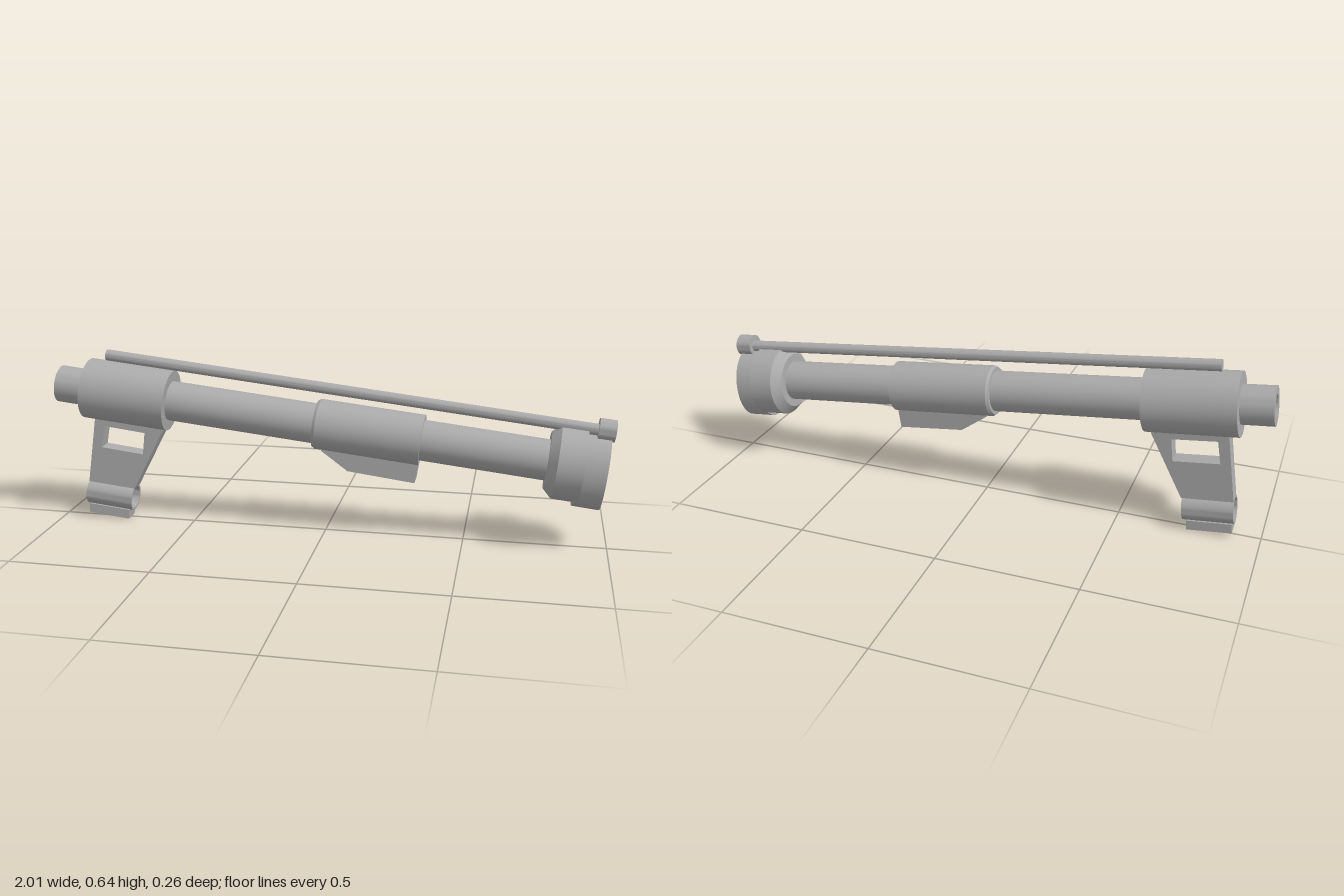
import * as THREE from 'three';
import { toCreasedNormals } from 'three/addons/utils/BufferGeometryUtils.js';

const TILT = -THREE.MathUtils.degToRad(6.2);

export function createModel() {
  const grey = new THREE.MeshStandardMaterial({ color: 0xaaaaaa });
  grey.name = 'grey metal';
  const model = new THREE.Group();

  // Everything round lies along the tilted barrel axis, measured from its rear end
  const axis = new THREE.Group();
  axis.name = 'tiltedBarrelAssembly';
  axis.position.set(-0.995, 0.505, 0);
  axis.rotation.z = TILT;
  model.add(axis);

  function add(parent, name, geometry) {
    const mesh = new THREE.Mesh(geometry, grey);
    mesh.name = name;
    parent.add(mesh);
    return mesh;
  }

  // Turned part: profile of [radius, distance along the axis]
  function turned(name, profile, sides = 40) {
    const points = profile.map(([r, s]) => new THREE.Vector2(r, s));
    const geometry = new THREE.LatheGeometry(points, sides).rotateZ(-Math.PI / 2);
    return add(axis, name, toCreasedNormals(geometry, 0.5));
  }

  const rod = (name, r, from, to, sides) =>
    turned(name, [[0, from], [r, from], [r, to], [0, to]], sides);

  // Flat part: side outline extruded across z
  function plate(name, outline, width, hole) {
    const toPoints = (list) => list.map(([x, y]) => new THREE.Vector2(x, y));
    const shape = new THREE.Shape(toPoints(outline));
    if (hole) shape.holes.push(new THREE.Path(toPoints(hole)));
    const geometry = new THREE.ExtrudeGeometry(shape, { depth: width, bevelEnabled: false });
    return add(model, name, geometry.translate(0, 0, -width / 2));
  }

  // Main tube with an open bore at the rear
  turned('rearStub', [[0, 0.09], [0.04, 0.09], [0.04, 0], [0.067, 0], [0.067, 0.12]]);
  rod('barrel', 0.072, 0.4, 1.82);
  rod('rearSleeve', 0.11, 0.11, 0.425);
  turned('middleSleeve', [[0, 0.965], [0.084, 0.965], [0.09, 0.975], [0.09, 1.348], [0, 1.348]]);

  // Flared collar and the oval cup at the front end
  turned('frontCollar', [[0, 1.785], [0.1, 1.785], [0.13, 1.815], [0.13, 1.905], [0, 1.905]]);
  const cup = turned('frontCup', [[0, 1.89], [1, 1.89], [1, 1.984], [0.97, 1.984], [0.97, 1.92], [0, 1.92]]);
  cup.scale.set(1, 0.131, 0.1);
  cup.position.y = -0.016;

  // Thin rod above the barrel with its end knob
  rod('topRod', 0.02, 0.172, 1.95, 20).position.y = 0.134;
  rod('rodKnob', 0.038, 1.935, 1.993, 28).position.y = 0.137;

  // Wedge below the middle sleeve
  plate('underWedge', [[-0.01, 0.36], [-0.01, 0.31], [0.085, 0.24], [0.325, 0.21], [0.335, 0.275], [0.335, 0.33]], 0.07);

  // Tapered bracket with a window
  plate('bracket',
    [[-0.852, 0.43], [-0.897, 0.14], [-0.72, 0.121], [-0.6, 0.35], [-0.6, 0.4]], 0.06,
    [[-0.825, 0.358], [-0.67, 0.339], [-0.68, 0.257], [-0.84, 0.276]]);

  // Open ring at the foot of the bracket, and the pad below it
  const ring = turned('bracketRing',
    [[0.042, 0.088], [0.042, -0.088], [0.05, -0.088], [0.05, 0.088], [0.042, 0.088]], 32);
  model.add(ring);
  ring.position.set(-0.815, 0.088, 0);
  ring.rotation.z = TILT;
  plate('footPad', [[-0.9, 0.052], [-0.903, 0.018], [-0.748, 0], [-0.745, 0.035]], 0.06);

  return model;
}
